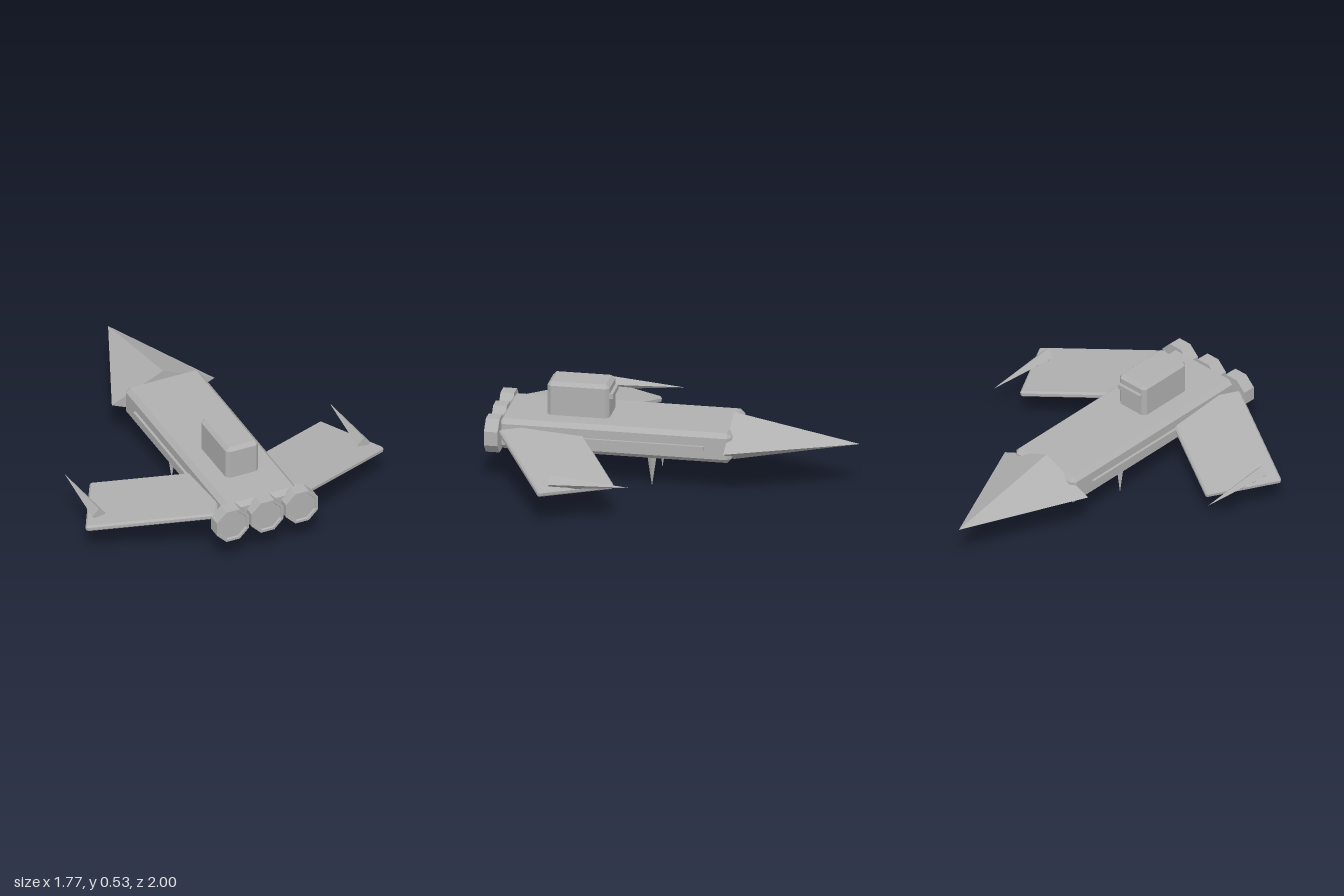
import * as THREE from 'three';
import { ConvexGeometry } from 'three/addons/geometries/ConvexGeometry.js';

const hullGrey = new THREE.MeshStandardMaterial({ color: 0xb0b0b0, flatShading: true });
hullGrey.name = 'hull grey';

// Box with every edge cut by a flat chamfer c
function chamferBox(w, h, d, c) {
  const points = [];
  const [x, y, z] = [w / 2, h / 2, d / 2];
  for (const sx of [-1, 1]) for (const sy of [-1, 1]) for (const sz of [-1, 1]) {
    points.push(
      new THREE.Vector3(sx * x, sy * (y - c), sz * (z - c)),
      new THREE.Vector3(sx * (x - c), sy * y, sz * (z - c)),
      new THREE.Vector3(sx * (x - c), sy * (y - c), sz * z)
    );
  }
  return new ConvexGeometry(points);
}

// Four-sided spike pointing to -z, with a diamond base
function spike(halfWidth, halfHeight, length) {
  return new THREE.ConeGeometry(1, length, 4).rotateX(-Math.PI / 2).scale(halfWidth, halfHeight, 1);
}

export function createModel() {
  const model = new THREE.Group();
  model.name = 'spacecraft';

  function add(name, geometry, x, y, z) {
    const mesh = new THREE.Mesh(geometry, hullGrey);
    mesh.name = name;
    mesh.position.set(x, y, z);
    model.add(mesh);
    return mesh;
  }

  // Body and pointed nose
  add('hull', chamferBox(0.44, 0.17, 1.275, 0.025), 0, 0.263, 0.303);
  add('nose', spike(0.305, 0.135, 0.69), 0, 0.265, -0.655);

  // Cabin with its window ridge
  add('cabin', chamferBox(0.195, 0.225, 0.34, 0.02), 0, 0.422, 0.525);
  add('cabinWindow', new THREE.BoxGeometry(0.16, 0.028, 0.03), 0, 0.47, 0.352);

  // Octagonal engines with shallow recessed nozzles
  const engineProfile = [[0, 0], [0.103, 0], [0.103, 0.075], [0.088, 0.075], [0.084, 0.065], [0, 0.065]]
    .map(([r, h]) => new THREE.Vector2(r, h));
  const engine = new THREE.LatheGeometry(engineProfile, 8, Math.PI / 8).rotateX(Math.PI / 2);
  for (const x of [-0.205, 0, 0.205]) add('engine', engine, x, 0.263, 0.925);

  // Mirrored parts
  const rail = new THREE.BoxGeometry(0.03, 0.024, 0.97);
  const wing = chamferBox(0.715, 0.036, 0.428, 0.01);
  const wingSpike = spike(0.04, 0.04, 0.43);
  const leg = new THREE.ConeGeometry(0.028, 0.19, 4).rotateX(Math.PI);
  for (const [side, s] of [['left', 1], ['right', -1]]) {
    add(side + 'Rail', rail, s * 0.22, 0.263, 0.295);
    add(side + 'Wing', wing, s * 0.475, 0.238, 0.57).rotation.set(0, s * 0.497, s * -0.154);
    add(side + 'WingSpike', wingSpike, s * 0.787, 0.222, 0.33);
    add(side + 'Leg', leg, s * 0.148, 0.095, 0.11);
  }

  return model;
}
